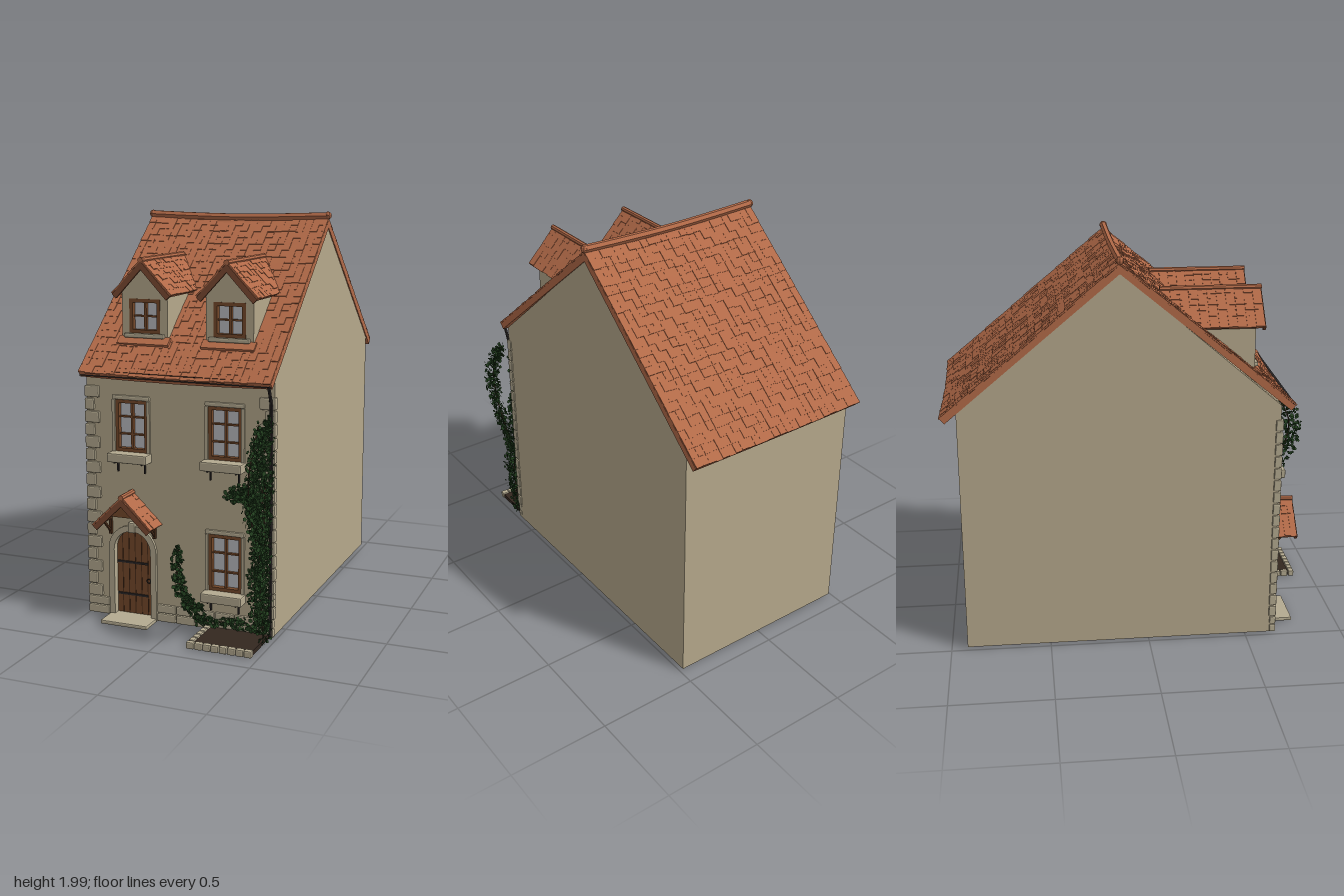
import * as THREE from 'three';
import { mergeGeometries } from 'three/addons/utils/BufferGeometryUtils.js';
import { RoundedBoxGeometry } from 'three/addons/geometries/RoundedBoxGeometry.js';

const mat = (color, double) => new THREE.MeshStandardMaterial({ color, flatShading: true, side: double ? THREE.DoubleSide : THREE.FrontSide });
const M = {
  wall: mat(0xb5a88b), stone: mat(0xb4aa90), tile: mat(0xb26a48), barge: mat(0x7d4a32), wood: mat(0x75492a),
  darkWood: mat(0x4a2d1a), glass: mat(0xb9bac0), iron: mat(0x2a2626, true), soil: mat(0x33271f), leaf: mat(0x23401f, true), stem: mat(0x3f2f20),
};
let seed = 7;
const rnd = () => (seed = (seed * 16807) % 2147483647) / 2147483647;
const jit = (a) => (rnd() - 0.5) * 2 * a;

function add(parent, name, geo, material, x = 0, y = 0, z = 0) {
  const m = new THREE.Mesh(geo, material);
  m.name = name;
  m.position.set(x, y, z);
  parent.add(m);
  return m;
}
// Box given by its limits
function box(parent, name, material, x0, x1, y0, y1, z0, z1) {
  return add(parent, name, new THREE.BoxGeometry(x1 - x0, y1 - y0, z1 - z0), material, (x0 + x1) / 2, (y0 + y1) / 2, (z0 + z1) / 2);
}
function block(parent, name, x0, x1, y0, y1, z0, z1) {
  const g = new RoundedBoxGeometry(x1 - x0, y1 - y0, z1 - z0, 1, 0.006);
  return add(parent, name, g, M.stone, (x0 + x1) / 2, (y0 + y1) / 2, (z0 + z1) / 2);
}
const poly = (pts, Type = THREE.Shape) => new Type(pts.map(([x, y]) => new THREE.Vector2(x, y)));
const rect = (x0, x1, y0, y1) => poly([[x0, y0], [x0, y1], [x1, y1], [x1, y0]], THREE.Path);
const extrude = (shape, depth) => new THREE.ExtrudeGeometry(shape, { depth, bevelEnabled: false, curveSegments: 10 });
const tube = (pts, r, n = 20) => new THREE.TubeGeometry(new THREE.CatmullRomCurve3(pts.map((p) => new THREE.Vector3(...p))), n, r, 6);

function archPoints(cx, r, base, spring) {
  const pts = [[cx + r, base]];
  for (let i = 0; i <= 16; i++) pts.push([cx + r * Math.cos(i * Math.PI / 16), spring + r * Math.sin(i * Math.PI / 16)]);
  pts.push([cx - r, base]);
  return pts;
}

// Tiled roof slope: ridge on the local x axis, running down towards local +z
function tiledSlope(w, len, rows, cols, thick, sag = 0) {
  const parts = [new THREE.BoxGeometry(w, thick, len, 12, 1, 1).translate(0, -thick / 2, len / 2)];
  const pitch = len / rows, tw = w / cols;
  for (let r = 0; r < rows; r++) {
    for (let c = 0; c < cols; c++) {
      const g = new THREE.BoxGeometry(tw * 0.985, 0.007, pitch * 1.15);
      g.rotateX(-0.008 / pitch * 0.2 + 0.005 + jit(0.02));
      parts.push(g.translate(-w / 2 + (c + 0.5) * tw, 0.004 + jit(0.0015), (r + 0.5) * pitch + jit(0.003)));
    }
  }
  const geo = mergeGeometries(parts);
  const p = geo.attributes.position;
  for (let i = 0; i < p.count; i++) p.setY(i, p.getY(i) - sag * Math.max(0, 1 - (2 * p.getX(i) / w) ** 2));
  return geo;
}
function placeSlope(parent, name, geo, pos, yaw, pitch) {
  const m = add(parent, name, geo, M.tile, ...pos);
  m.rotation.set(pitch, yaw, 0, 'YXZ');
}

// Small gabled roof, ridge along z from z0 to z1
function gabledRoof(parent, name, cx, top, halfW, drop, z0, z1, rows, cols) {
  const a = Math.atan2(drop, halfW), len = Math.hypot(halfW, drop), w = z1 - z0;
  for (const s of [-1, 1]) {
    placeSlope(parent, name + 'Slope', tiledSlope(w, len, rows, cols, 0.014), [cx, top, (z0 + z1) / 2], s * Math.PI / 2, a);
    const board = add(parent, name + 'Bargeboard', new THREE.BoxGeometry(len, 0.028, 0.014), M.barge, cx + s * (halfW / 2 - 0.008), top - drop / 2 - 0.012, z1 - 0.003);
    board.rotation.z = -s * a;
  }
  add(parent, name + 'Ridge', new THREE.CylinderGeometry(0.014, 0.014, w + 0.008, 8).rotateX(Math.PI / 2), M.tile, cx, top + 0.004, (z0 + z1) / 2);
}

// Casement window with glass, frame and glazing bars; z is the wall face
function makeWindow(parent, cx, y0, y1, half, z, rows) {
  const g = new THREE.Group();
  g.name = 'window';
  parent.add(g);
  box(g, 'glass', M.glass, cx - half, cx + half, y0, y1, z - 0.03, z - 0.025);
  for (const s of [-1, 1]) {
    const x = cx + s * (half - 0.008);
    box(g, 'frameSide', M.wood, x - 0.009, x + 0.009, y0, y1, z - 0.03, z + 0.002);
  }
  for (const y of [y0 + 0.008, y1 - 0.008]) box(g, 'frameRail', M.wood, cx - half, cx + half, y - 0.009, y + 0.009, z - 0.03, z + 0.002);
  box(g, 'mullion', M.wood, cx - 0.006, cx + 0.006, y0, y1, z - 0.026, z - 0.006);
  for (let i = 1; i < rows; i++) {
    const y = y0 + (y1 - y0) * i / rows;
    box(g, 'glazingBar', M.wood, cx - half, cx + half, y - 0.004, y + 0.004, z - 0.026, z - 0.01);
  }
  return g;
}

// Leaves scattered along a path of [a, b, spread]; plane 'wall' = (x,y), 'side' = (z,y)
function ivy(parent, plane, path, count) {
  const leaves = [], to3 = (a, b, d) => plane === 'wall' ? [a, b, 0.66 + d] : [0.465 + d, b, a];
  for (let i = 0; i < count; i++) {
    const t = rnd() * (path.length - 1), k = Math.floor(t), f = t - k;
    const [a, b, r] = path[k].map((v, j) => v + (path[k + 1][j] - v) * f);
    const ang = rnd() * Math.PI * 2, rr = r * Math.sqrt(rnd());
    const p = to3(a + rr * Math.cos(ang), Math.max(0.012, b + rr * Math.sin(ang)), jit(0.015));
    p[0] = Math.min(p[0], 0.482);
    p[2] = Math.min(p[2], 0.99);
    const leaf = new THREE.CircleGeometry(0.008 + rnd() * 0.004, 5);
    leaf.rotateX(jit(0.8)).rotateY(jit(0.8) + (plane === 'side' ? Math.PI / 2 : 0));
    leaves.push(leaf.translate(...p));
  }
  add(parent, 'ivyLeaves', mergeGeometries(leaves), M.leaf);
  add(parent, 'ivyStem', tube(path.map(([a, b]) => to3(a, b, -0.008)), 0.004), M.stem);
}

export function createModel() {
  const house = new THREE.Group();
  house.name = 'house';
  const dx = -0.245, F = 0.645;
  const windows = [[-0.245, 0.85, 1.105], [0.24, 0.85, 1.105], [0.24, 0.205, 0.485]];

  // Walls
  const front = poly([[-0.485, 0.01], [0.485, 0.01], [0.485, 1.24], [-0.485, 1.24]]);
  for (const [cx, y0, y1] of windows) front.holes.push(rect(cx - 0.085, cx + 0.085, y0, y1));
  front.holes.push(poly(archPoints(dx, 0.1, 0.012, 0.355), THREE.Path));
  add(house, 'frontWall', extrude(front, 0.05), M.wall, 0, 0, F - 0.05);
  box(house, 'backWall', M.wall, -0.485, 0.485, 0.01, 1.25, -0.92, -0.87);
  const gable = poly([[F, 0.01], [F, 1.24], [-0.14, 1.91], [-0.92, 1.25], [-0.92, 0.01]].reverse());
  for (const x of [0.485, -0.435]) add(house, 'gableWall', extrude(gable, 0.05).rotateY(-Math.PI / 2), M.wall, x);

  // Main roof
  placeSlope(house, 'frontRoof', tiledSlope(0.98, 1.108, 24, 26, 0.032, 0.012), [0, 1.945, -0.14], 0, 0.692);
  placeSlope(house, 'backRoof', tiledSlope(0.98, 1.115, 24, 26, 0.032, 0.012), [0, 1.945, -0.14], Math.PI, 0.697);
  add(house, 'ridgeCap', tube([[-0.495, 1.965, -0.14], [-0.25, 1.957, -0.14], [0, 1.953, -0.14], [0.25, 1.957, -0.14], [0.495, 1.965, -0.14]], 0.019), M.tile);
  for (const s of [-1, 1]) add(house, 'ridgeEnd', new THREE.SphereGeometry(0.02, 8, 6), M.tile, s * 0.485, 1.965, -0.14);
  add(house, 'gutter', new THREE.CylinderGeometry(0.014, 0.014, 0.98, 8, 1, true, Math.PI / 2, Math.PI).rotateZ(Math.PI / 2), M.iron, 0, 1.235, 0.71);
  add(house, 'downpipe', tube([[0.475, 1.23, 0.705], [0.475, 1.2, 0.69], [0.475, 1.14, 0.667], [0.475, 1.05, 0.662], [0.475, 0.5, 0.662], [0.475, 0.02, 0.662]], 0.008, 40), M.iron);

  // Dormers
  for (const cx of [-0.22, 0.22]) {
    const d = new THREE.Group();
    d.name = 'dormer';
    house.add(d);
    const face = poly([[cx - 0.12, 1.37], [cx + 0.12, 1.37], [cx + 0.12, 1.62], [cx, 1.745], [cx - 0.12, 1.62]]);
    face.holes.push(rect(cx - 0.08, cx + 0.08, 1.415, 1.58));
    add(d, 'dormerFace', extrude(face, 0.04), M.wall, 0, 0, 0.495);
    for (const s of [-1, 1]) box(d, 'dormerCheek', M.wall, cx + s * 0.105 - 0.015, cx + s * 0.105 + 0.015, 1.37, 1.62, 0.2, 0.53);
    makeWindow(d, cx, 1.415, 1.58, 0.08, 0.535, 2);
    block(d, 'dormerSill', cx - 0.105, cx + 0.105, 1.393, 1.415, 0.52, 0.555);
    const apron = box(d, 'dormerApron', M.tile, cx - 0.135, cx + 0.135, 1.372, 1.386, 0.525, 0.575);
    apron.rotation.x = 0.692;
    gabledRoof(d, 'dormer', cx, 1.765, 0.15, 0.16, 0.08, 0.575, 7, 11);
  }

  // Front windows with stone surrounds
  for (const [cx, y0, y1] of windows) {
    const g = makeWindow(house, cx, y0, y1, 0.085, F, 3);
    for (const s of [-1, 1]) {
      box(g, 'stoneJamb', M.stone, cx + s * 0.092 - 0.008, cx + s * 0.092 + 0.008, y0, y1, F - 0.02, F + 0.01);
      box(g, 'sillBracket', M.iron, cx + s * 0.072 - 0.003, cx + s * 0.072 + 0.003, y0 - 0.1, y0 - 0.045, F, F + 0.012);
      box(g, 'sillBracketArm', M.iron, cx + s * 0.072 - 0.003, cx + s * 0.072 + 0.003, y0 - 0.053, y0 - 0.044, F, F + 0.05);
    }
    block(g, 'lintel', cx - 0.1, cx + 0.1, y1, y1 + 0.022, F - 0.02, F + 0.012);
    block(g, 'sill', cx - 0.105, cx + 0.105, y0 - 0.045, y0, F - 0.02, F + 0.065);
  }

  // Door with planks, hinges and stone arch
  const door = new THREE.Group();
  door.name = 'door';
  house.add(door);
  add(door, 'doorLeaf', extrude(poly(archPoints(dx, 0.1, 0.015, 0.355)), 0.02), M.wood, 0, 0, F - 0.04);
  for (let i = -2; i <= 2; i++) {
    const x = dx + i * 0.034;
    box(door, 'plankGap', M.darkWood, x - 0.002, x + 0.002, 0.015, 0.35 + Math.sqrt(0.01 - (x - dx) ** 2), F - 0.03, F - 0.018);
  }
  for (const y of [0.12, 0.285]) box(door, 'strapHinge', M.iron, dx - 0.095, dx + 0.07, y - 0.005, y + 0.005, F - 0.025, F - 0.014);
  add(door, 'doorHandle', new THREE.TorusGeometry(0.01, 0.003, 6, 12), M.iron, dx + 0.075, 0.2, F - 0.014);
  const arch = poly([...archPoints(dx, 0.128, 0.01, 0.355), ...archPoints(dx, 0.098, 0.01, 0.355).reverse()]);
  add(door, 'stoneArch', extrude(arch, 0.05), M.stone, 0, 0, F - 0.035);
  block(door, 'keystone', dx - 0.018, dx + 0.018, 0.448, 0.5, F - 0.02, F + 0.025);
  block(house, 'doorstep', dx - 0.125, dx + 0.125, 0.002, 0.022, F - 0.04, 0.77);

  // Door canopy
  const canopy = new THREE.Group();
  canopy.name = 'canopy';
  house.add(canopy);
  gabledRoof(canopy, 'canopy', dx, 0.647, 0.15, 0.145, F, 0.772, 5, 4);
  add(canopy, 'canopyGable', extrude(poly([[dx - 0.09, 0.54], [dx + 0.09, 0.54], [dx, 0.625]]), 0.02), M.wood, 0, 0, F + 0.06);
  for (const s of [-1, 1]) {
    const x = dx + s * 0.118;
    box(canopy, 'bracketPost', M.darkWood, x - 0.007, x + 0.007, 0.43, 0.515, F, F + 0.014);
    box(canopy, 'bracketBeam', M.darkWood, x - 0.007, x + 0.007, 0.508, 0.522, F, F + 0.115);
    const strut = box(canopy, 'bracketStrut', M.darkWood, x - 0.005, x + 0.005, 0.42, 0.53, F + 0.035, F + 0.045);
    strut.rotation.x = 0.8;
  }

  // Quoins and base course
  for (const s of [-1, 1]) {
    for (let i = 0; i < 17; i++) {
      const y = 0.1 + i * 0.063, w = i % 2 ? 0.05 : 0.078;
      const [a, b] = [s * 0.492, s * (0.492 - w)];
      block(house, 'quoin', Math.min(a, b), Math.max(a, b), y, y + 0.057, F - 0.025, F + 0.013);
    }
  }
  for (const [x0, x1, n] of [[-0.492, -0.375, 1], [-0.115, 0.492, 6]]) {
    for (let r = 0; r < 2; r++) {
      for (let i = 0, w = (x1 - x0) / n; i < n; i++) block(house, 'baseStone', x0 + i * w, x0 + (i + 1) * w - 0.004, 0.01 + r * 0.045, 0.052 + r * 0.045, F - 0.02, F + 0.012);
    }
  }

  // Planting bed with stone edging
  box(house, 'soil', M.soil, 0.165, 0.465, 0.002, 0.024, F, 0.88);
  for (let i = 0; i < 8; i++) block(house, 'frontEdging', 0.145 + i * 0.041, 0.183 + i * 0.041, 0.0, 0.034, 0.872, 0.902);
  for (let i = 0; i < 5; i++) block(house, 'sideEdging', 0.145, 0.173, 0.0, 0.034, 0.66 + i * 0.042, 0.699 + i * 0.042);

  // Ivy on the front wall and spreading forward at the corner
  ivy(house, 'wall', [[0.43, 0.02, 0.06], [0.42, 0.3, 0.06], [0.43, 0.55, 0.055], [0.43, 0.75, 0.06], [0.44, 0.9, 0.05], [0.465, 1.07, 0.02]], 1300);
  ivy(house, 'wall', [[0.41, 0.55, 0.04], [0.38, 0.66, 0.045], [0.34, 0.72, 0.04], [0.27, 0.68, 0.035]], 260);
  ivy(house, 'wall', [[0, 0.39, 0.02], [-0.01, 0.3, 0.035], [0.01, 0.2, 0.03], [0.05, 0.12, 0.035], [0.1, 0.1, 0.045], [0.13, 0.05, 0.03]], 320);
  ivy(house, 'wall', [[0.1, 0.05, 0.025], [0.2, 0.05, 0.025], [0.3, 0.06, 0.03], [0.42, 0.06, 0.04]], 220);
  ivy(house, 'side', [[0.7, 0.03, 0.06], [0.73, 0.15, 0.085], [0.74, 0.28, 0.09], [0.7, 0.42, 0.055], [0.7, 0.58, 0.05], [0.69, 0.78, 0.03]], 750);
  ivy(house, 'side', [[0.74, 0.4, 0.03], [0.8, 0.52, 0.03], [0.86, 0.62, 0.08], [0.9, 0.72, 0.08], [0.91, 0.84, 0.075], [0.85, 0.96, 0.05], [0.78, 1.06, 0.025]], 650);
  return house;
}
